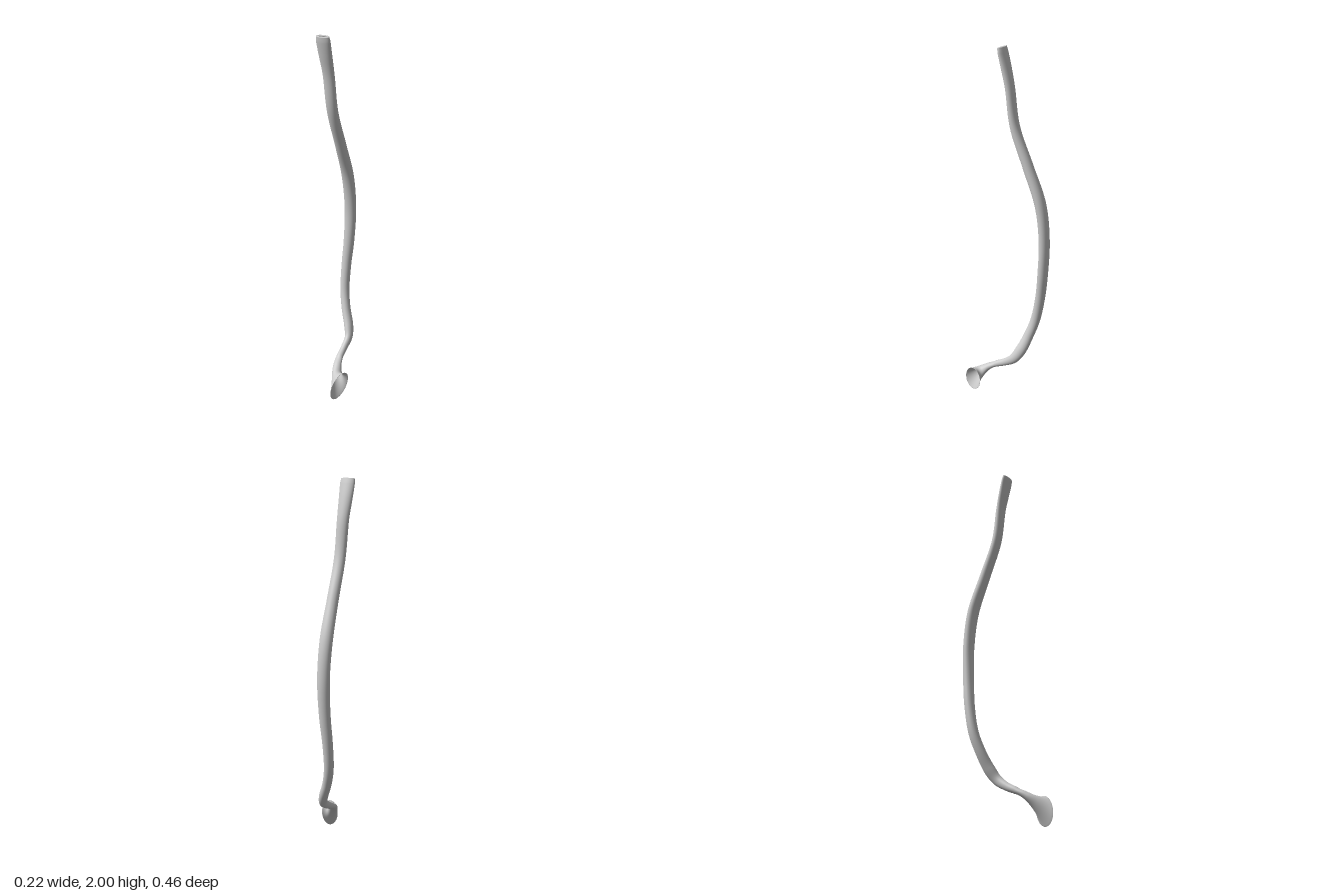
import * as THREE from 'three';

// Stations from top to bottom: centre x, y, z, then half-width, half-depth
const STATIONS = [
  [-0.069, 1.996, 0.064, 0.038, 0.015],
  [-0.069, 1.97, 0.058, 0.041, 0.018],
  [-0.069, 1.9, 0.040, 0.038, 0.021],
  [-0.067, 1.8, 0.016, 0.033, 0.022],
  [-0.065, 1.6, -0.016, 0.031, 0.024],
  [-0.067, 1.4, -0.095, 0.031, 0.028],
  [-0.070, 1.2, -0.172, 0.035, 0.029],
  [-0.069, 1.0, -0.200, 0.034, 0.028],
  [-0.073, 0.8, -0.193, 0.031, 0.028],
  [-0.080, 0.65, -0.177, 0.028, 0.027],
  [-0.074, 0.5, -0.152, 0.026, 0.027],
  [-0.049, 0.4, -0.125, 0.025, 0.028],
  [-0.012, 0.31, -0.095, 0.025, 0.031],
  [0.009, 0.255, -0.062, 0.021, 0.027],
  [0.013, 0.213, -0.005, 0.018, 0.021],
  [0.019, 0.185, 0.05, 0.019, 0.018],
  [0.034, 0.155, 0.1, 0.025, 0.021],
  [0.06, 0.115, 0.14, 0.039, 0.046],
  [0.09, 0.08, 0.167, 0.058, 0.082],
];
// Axes of the oblique flared mouth
const MOUTH_U = new THREE.Vector3(0.234, -0.4, -0.92);
const MOUTH_V = new THREE.Vector3(0.167, 0.92, -0.4);
const SIDES = 36, ROWS = 180;

export function createModel() {
  const last = STATIONS.length - 1;
  const path = new THREE.CatmullRomCurve3(STATIONS.map(s => new THREE.Vector3(s[0], s[1], s[2])));
  // Half-sizes, plus how far the section has turned into the mouth plane
  const sizes = new THREE.CatmullRomCurve3(STATIONS.map((s, i) =>
    new THREE.Vector3(s[3], s[4], i === last ? 1 : i === last - 1 ? 0.6 : i === last - 2 ? 0.12 : 0)));

  const pos = [], index = [];
  function addRing(t, wall) {
    const c = path.getPoint(t), size = sizes.getPoint(t);
    const tan = path.getTangent(t);
    const u = new THREE.Vector3(1, 0, 0).addScaledVector(tan, -tan.x).normalize();
    const v = new THREE.Vector3().crossVectors(tan, u);
    const w = THREE.MathUtils.clamp(size.z, 0, 1);
    u.lerp(MOUTH_U, w);
    v.lerp(MOUTH_V, w);
    for (let j = 0; j < SIDES; j++) {
      const a = j / SIDES * Math.PI * 2;
      const p = c.clone()
        .addScaledVector(u, Math.cos(a) * (size.x - wall))
        .addScaledVector(v, Math.sin(a) * (size.y - wall));
      pos.push(p.x, p.y, p.z);
    }
  }

  // Outer wall down, then the hollow lining back up, thicker at the top
  for (let i = 0; i <= ROWS; i++) addRing(i / ROWS, 0);
  for (let i = ROWS; i >= 0; i--) addRing(i / ROWS, THREE.MathUtils.lerp(0.009, 0.002, i / ROWS));

  // The rows close into a loop, which forms both rims
  const rows = 2 * (ROWS + 1);
  for (let i = 0; i < rows; i++) {
    for (let j = 0; j < SIDES; j++) {
      const k = (j + 1) % SIDES, n = (i + 1) % rows;
      const a = i * SIDES + j, b = i * SIDES + k, c = n * SIDES + j, d = n * SIDES + k;
      index.push(a, b, c, b, d, c);
    }
  }
  const geo = new THREE.BufferGeometry();
  geo.setAttribute('position', new THREE.Float32BufferAttribute(pos, 3));
  geo.setIndex(index);
  geo.computeVertexNormals();

  const tube = new THREE.Mesh(geo, new THREE.MeshStandardMaterial({ color: 0xcccccc }));
  tube.name = 'flaredHollowTube';
  const group = new THREE.Group();
  group.name = 'esophagus';
  group.add(tube);
  return group;
}
